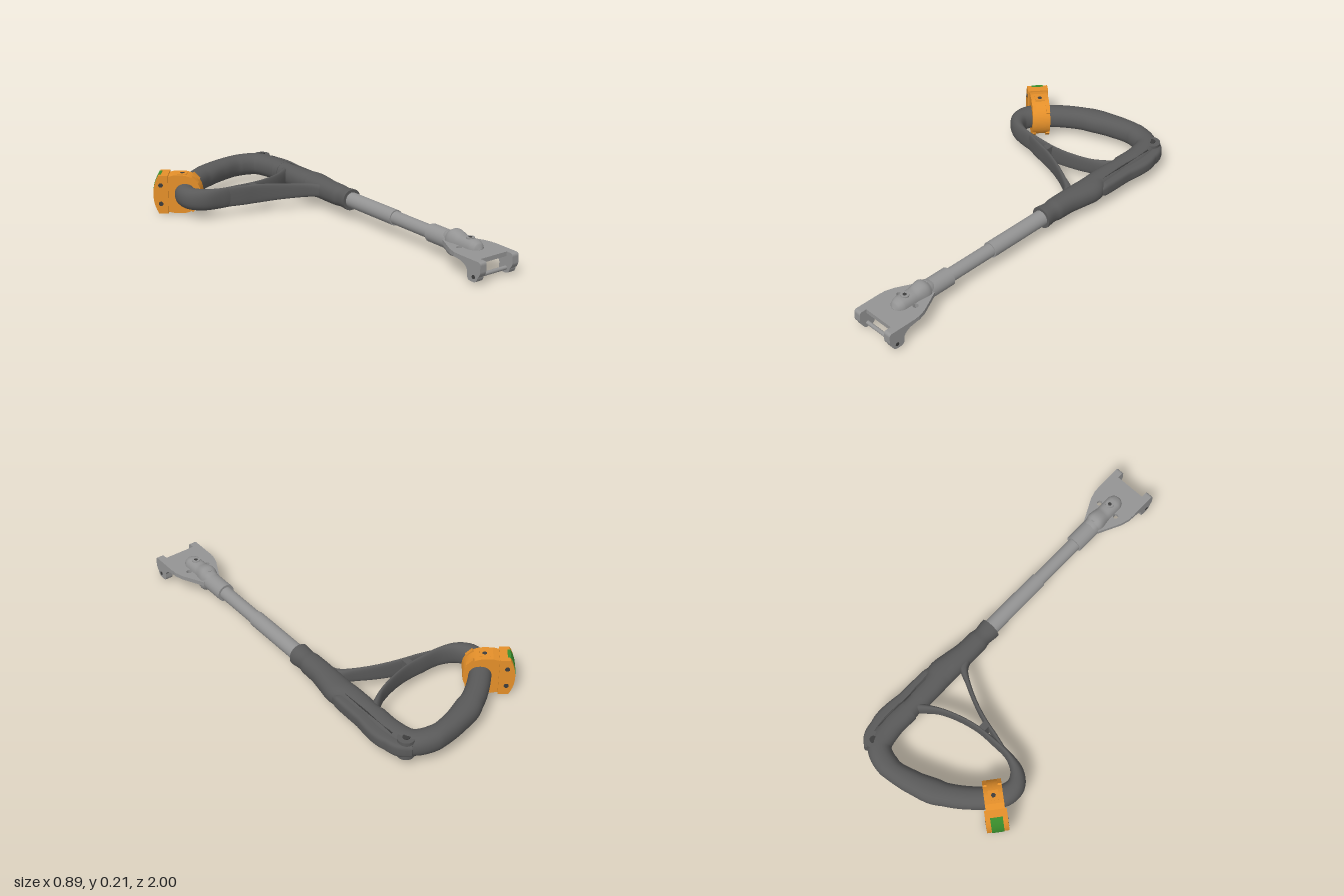
import * as THREE from 'three';

const mat = (name, color) => Object.assign(new THREE.MeshStandardMaterial({ color }), { name });
const AX = 0.32, AY = 0.105; // axis of the straight shaft

// Sweeps an oval section along a level path; each point is [x, z, halfWidth, halfHeight].
function sweep(points, steps = 48, power = 1, sides = 28) {
  const path = new THREE.CatmullRomCurve3(points.map(p => new THREE.Vector3(p[0], AY, p[1])));
  const size = new THREE.CatmullRomCurve3(points.map(p => new THREE.Vector3(p[2], p[3], 0)));
  const pos = [], idx = [];
  const soft = v => Math.sign(v) * Math.abs(v) ** power;
  const ring = t => {
    const c = path.getPoint(t), d = path.getTangent(t), s = size.getPoint(t);
    for (let j = 0; j < sides; j++) {
      const a = j / sides * Math.PI * 2, w = s.x * soft(Math.cos(a)), h = s.y * soft(Math.sin(a));
      pos.push(c.x + d.z * w, c.y + h, c.z - d.x * w);
    }
    return c;
  };
  for (let i = 0; i <= steps; i++) ring(i / steps);
  for (let i = 0; i < steps; i++) for (let j = 0; j < sides; j++) {
    const a = i * sides + j, b = i * sides + (j + 1) % sides;
    idx.push(a, b, a + sides, b, b + sides, a + sides);
  }
  for (const t of [0, 1]) { // flat end caps
    const start = pos.length / 3, c = ring(t), mid = pos.length / 3;
    pos.push(c.x, c.y, c.z);
    for (let j = 0; j < sides; j++) {
      const a = start + j, b = start + (j + 1) % sides;
      idx.push(mid, t ? a : b, t ? b : a);
    }
  }
  const g = new THREE.BufferGeometry();
  g.setAttribute('position', new THREE.Float32BufferAttribute(pos, 3));
  g.setIndex(idx);
  g.computeVertexNormals();
  return g;
}

export function createModel() {
  const model = new THREE.Group();
  const dark = mat('dark rubber', 0x5a5a5a), metal = mat('grey metal', 0x949494);
  const orange = mat('orange plastic', 0xe5902a), green = mat('green plastic', 0x3a8f2c);
  const shade = mat('dark recess', 0x3c3c3c);

  const add = (name, geo, m, x = 0, y = 0, z = 0, parent = model) => {
    const mesh = new THREE.Mesh(geo, m);
    mesh.name = name;
    mesh.position.set(x, y, z);
    parent.add(mesh);
    return mesh;
  };
  const rod = (name, r, z0, z1, m) =>
    add(name, new THREE.CylinderGeometry(r, r, z1 - z0, 32).rotateX(Math.PI / 2), m, AX, AY, (z0 + z1) / 2);

  // Telescopic shaft
  rod('outerShaft', 0.04, -0.12, 0.26, metal);
  rod('innerShaft', 0.034, 0.2, 0.56, metal);
  rod('shaftSocket', 0.046, 0.53, 0.68, metal);
  add('socketClamp', sweep([[AX, 0.64, 0.038, 0.044], [AX, 0.67, 0.043, 0.053], [AX, 0.75, 0.043, 0.053],
    [AX, 0.83, 0.043, 0.052], [AX, 0.86, 0.032, 0.04], [AX, 0.874, 0.012, 0.015]], 40, 0.8), metal);
  for (const z of [0.69, 0.8]) {
    add('clampBolt', new THREE.CylinderGeometry(0.021, 0.023, 0.112, 20), metal, AX, AY, z);
    add('boltSocket', new THREE.CylinderGeometry(0.01, 0.01, 0.114, 6), shade, AX, AY, z);
  }

  // Bracket plate with a notch at the front and two side holes
  const plate = new THREE.Shape([[0.272, 0.66], [0.368, 0.66], [0.425, 0.775], [0.438, 0.82], [0.438, 0.96],
    [0.202, 0.96], [0.202, 0.82], [0.215, 0.775]].map(p => new THREE.Vector2(...p)));
  for (const s of [-1, 1])
    plate.holes.push(new THREE.Path().absarc(AX + s * 0.055, 0.785, 0.014, 0, Math.PI * 2, true));
  add('bracketPlate', new THREE.ExtrudeGeometry(plate, { depth: 0.022, bevelEnabled: false, curveSegments: 16 })
    .rotateX(Math.PI / 2), metal, 0, 0.117, 0);

  // Hooked bracket arms joined by a pin
  const hook = new THREE.Shape();
  hook.moveTo(0.84, 0.117);
  hook.lineTo(0.84, 0.095);
  hook.quadraticCurveTo(0.9, 0.092, 0.914, 0.055);
  hook.lineTo(0.914, 0.035);
  hook.quadraticCurveTo(0.914, 0.012, 0.938, 0.012);
  hook.lineTo(0.955, 0.012);
  hook.quadraticCurveTo(0.98, 0.012, 0.984, 0.04);
  hook.quadraticCurveTo(1, 0.055, 1, 0.07);
  hook.lineTo(1, 0.1);
  hook.quadraticCurveTo(1, 0.117, 0.983, 0.117);
  const hookGeo = new THREE.ExtrudeGeometry(hook, { depth: 0.038, bevelEnabled: false }).rotateY(-Math.PI / 2);
  for (const s of [-1, 1]) {
    add('bracketArm', hookGeo, metal, AX + s * 0.101 + 0.019, 0, 0);
    add('pinEnd', new THREE.CylinderGeometry(0.01, 0.01, 0.002, 16).rotateZ(Math.PI / 2), shade, AX + s * 0.1205, 0.037, 0.957);
  }
  add('bracketPin', new THREE.CylinderGeometry(0.01, 0.01, 0.2, 16).rotateZ(Math.PI / 2), metal, AX, 0.037, 0.957);

  // Grip sleeve, flared beside the lever
  add('gripSleeve', sweep([[0.319, -0.09, 0.054, 0.055], [0.319, -0.18, 0.054, 0.055], [0.32, -0.27, 0.056, 0.056],
    [0.328, -0.36, 0.064, 0.057], [0.333, -0.43, 0.069, 0.057], [0.323, -0.48, 0.059, 0.057],
    [0.32, -0.6, 0.056, 0.057], [0.32, -0.72, 0.056, 0.057]], 60, 0.9), dark);

  // Curved handle, flattening into the upper brace
  add('handleLoop', sweep([[0.32, -0.68, 0.056, 0.057], [0.32, -0.8, 0.057, 0.057], [0.29, -0.905, 0.058, 0.058],
    [0.19, -0.943, 0.057, 0.058], [0.05, -0.922, 0.057, 0.058], [-0.1, -0.865, 0.057, 0.058],
    [-0.235, -0.768, 0.055, 0.058], [-0.32, -0.67, 0.054, 0.057], [-0.328, -0.6, 0.046, 0.057],
    [-0.285, -0.545, 0.033, 0.056], [-0.2, -0.515, 0.017, 0.054], [-0.1, -0.512, 0.013, 0.053],
    [0, -0.516, 0.01, 0.05], [0.1, -0.537, 0.01, 0.046], [0.2, -0.575, 0.012, 0.044],
    [0.29, -0.635, 0.022, 0.046]], 140, 0.9), dark);
  add('lowerBrace', sweep([[-0.17, -0.513, 0.012, 0.052], [-0.09, -0.488, 0.01, 0.052], [0, -0.465, 0.01, 0.05],
    [0.1, -0.428, 0.01, 0.044], [0.2, -0.378, 0.012, 0.038], [0.265, -0.338, 0.02, 0.036],
    [0.3, -0.29, 0.03, 0.036]], 50, 0.7), dark);
  add('braceWeb', new THREE.BoxGeometry(0.035, 0.098, 0.04), dark, -0.022, AY, -0.493);

  // Side lever and its pivot
  add('sideLever', sweep([[0.372, -0.455, 0.026, 0.025], [0.374, -0.49, 0.03, 0.035], [0.375, -0.65, 0.031, 0.035],
    [0.375, -0.84, 0.031, 0.035], [0.362, -0.9, 0.028, 0.035], [0.32, -0.945, 0.024, 0.032]], 48, 0.6), dark);
  add('leverPivot', new THREE.CylinderGeometry(0.042, 0.042, 0.1, 28), dark, 0.326, AY, -0.905);
  for (const s of [-1, 1]) {
    add('pivotScrew', new THREE.CylinderGeometry(0.018, 0.018, 0.006, 20), shade, 0.325, AY + s * 0.051, -0.905);
    add('leverSeam', new THREE.BoxGeometry(0.005, 0.004, 0.36), shade, 0.355, AY + s * 0.0455, -0.66);
  }

  // Clamp around the handle: local x points into the loop, local z along the tube
  const clamp = new THREE.Group();
  clamp.name = 'clamp';
  clamp.position.set(-0.31, AY, -0.73);
  clamp.rotation.y = -0.684;
  model.add(clamp);
  const slab = (name, shape, depth, m) => add(name,
    new THREE.ExtrudeGeometry(shape, { depth, bevelEnabled: false, curveSegments: 24 }).translate(0, 0, -depth / 2),
    m, 0, 0, 0, clamp);

  const ring = new THREE.Shape();
  ring.moveTo(-0.08, 0.09);
  ring.lineTo(-0.08, -0.09);
  ring.lineTo(-0.03, -0.102);
  ring.lineTo(0.02, -0.102);
  ring.absarc(0.01, 0, 0.102, -Math.PI / 2, Math.PI / 2, false);
  ring.lineTo(-0.03, 0.102);
  slab('clampRing', ring, 0.092, orange);

  // Band with a bowed outer face, from radial position x0 out to the bow
  const bow = (x0, h, out) => {
    const s = new THREE.Shape(), r = 0.206 + out, a = Math.asin(h / r);
    s.moveTo(x0, -h);
    s.lineTo(x0, h);
    s.absarc(0.069, 0, r, Math.PI - a, Math.PI + a, false);
    return s;
  };
  slab('clampBlock', bow(-0.06, 0.102, 0), 0.108, orange);
  slab('greenPad', bow(-0.098, 0.1035, 0.003), 0.06, green);

  for (const sy of [-1, 1]) {
    add('clampBoss', new THREE.BoxGeometry(0.05, 0.006, 0.05), orange, 0.01, sy * 0.101, 0, clamp);
    add('bossRecess', new THREE.CylinderGeometry(0.012, 0.012, 0.002, 6), shade, 0.01, sy * 0.1035, 0, clamp);
    for (const sz of [-1, 1])
      add('screwHole', new THREE.CylinderGeometry(0.012, 0.012, 0.002, 18).rotateX(Math.PI / 2), shade,
        -0.098, sy * 0.05, sz * 0.0545, clamp);
    for (const sz of [-1, 1]) // raised ribs on the inner rim
      add('rimRib', new THREE.BoxGeometry(0.045, 0.012, 0.02), orange, 0.078, sy * 0.076, sz * 0.036, clamp)
        .rotation.z = -sy * 0.8;
  }
  return model;
}
